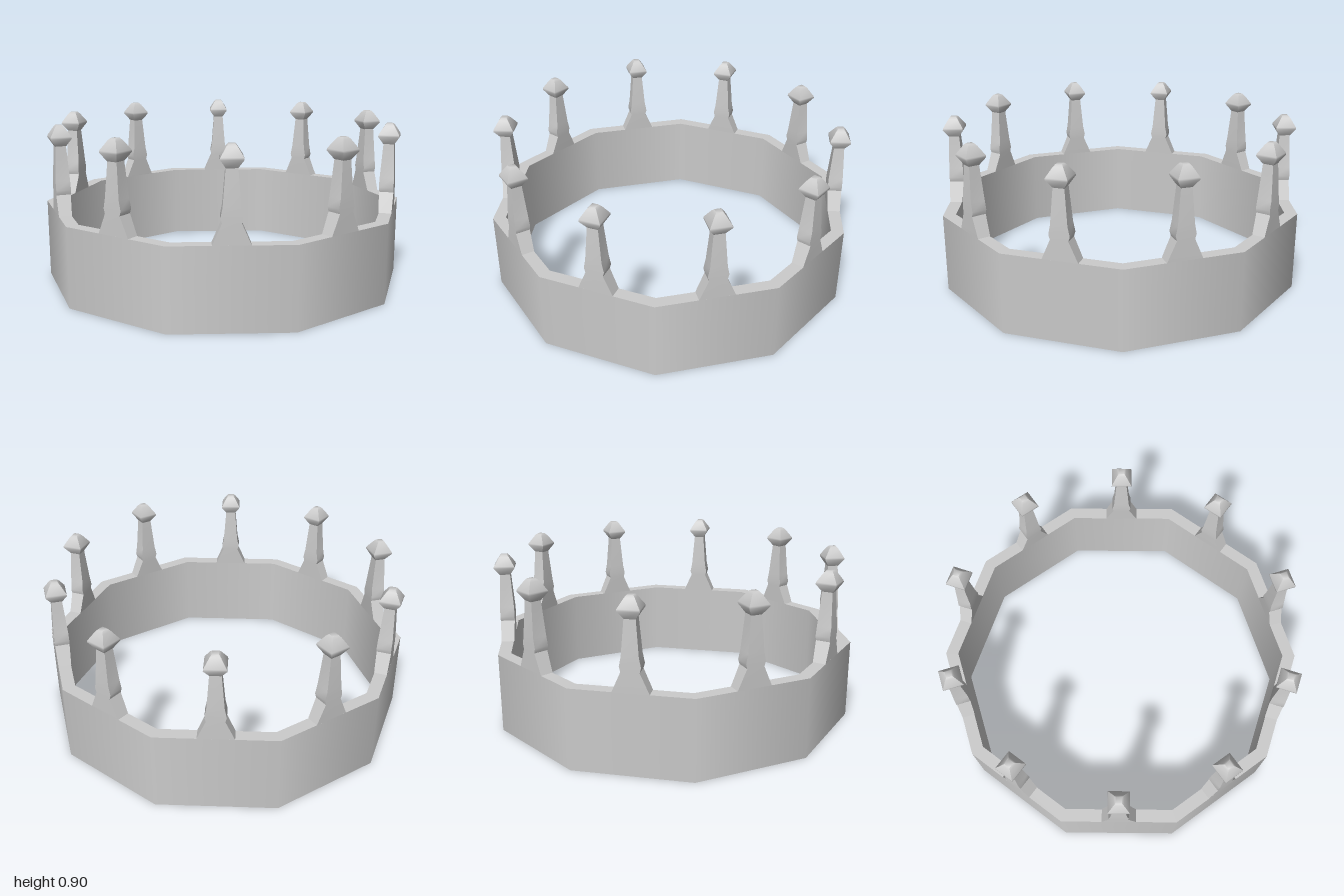
import * as THREE from 'three';
import { toCreasedNormals } from 'three/addons/utils/BufferGeometryUtils.js';

const SIDES = 10;
const BAND_TOP = 0.43;
const OUTER = 1, INNER = 0.93;

const material = new THREE.MeshStandardMaterial({ color: 0xcccccc });

// Lofts rectangular sections [y, halfWidth, zInner, zOuter] into a closed solid.
function loft(sections, crease) {
  const corners = sections.map(([y, w, z0, z1]) => [[-w, y, z1], [w, y, z1], [w, y, z0], [-w, y, z0]]);
  const positions = [];
  const quad = (a, b, c, d) => positions.push(...a, ...b, ...c, ...a, ...c, ...d);
  for (let i = 0; i < corners.length - 1; i++) {
    for (let k = 0; k < 4; k++) {
      const n = (k + 1) % 4;
      quad(corners[i][k], corners[i][n], corners[i + 1][n], corners[i + 1][k]);
    }
  }
  const [a, b, c, d] = corners[0];
  quad(d, c, b, a);
  quad(...corners[corners.length - 1]);
  const geometry = new THREE.BufferGeometry();
  geometry.setAttribute('position', new THREE.Float32BufferAttribute(positions, 3));
  return toCreasedNormals(geometry, crease);
}

// One ten-sided strip of the band, swept between two [radius, y] points.
function bandStrip(name, from, to) {
  const points = [new THREE.Vector2(...from), new THREE.Vector2(...to)];
  const mesh = new THREE.Mesh(new THREE.LatheGeometry(points, SIDES, Math.PI / 2), material);
  mesh.name = name;
  return mesh;
}

function createBand() {
  const band = new THREE.Group();
  band.name = 'band';
  band.add(
    bandStrip('bandOuterWall', [OUTER, 0], [OUTER, BAND_TOP]),
    bandStrip('bandTopRim', [OUTER, BAND_TOP], [INNER, BAND_TOP]),
    bandStrip('bandInnerWall', [INNER, BAND_TOP], [INNER, 0]),
    bandStrip('bandBottomRim', [INNER, 0], [OUTER, 0])
  );
  return band;
}

export function createModel() {
  const crown = new THREE.Group();
  crown.name = 'crown';
  crown.add(createBand());

  // Flared foot, small notch and collar, then a tapering shaft
  const spikeGeometry = loft([
    [BAND_TOP, 0.092, 0.883, 0.951],
    [0.535, 0.046, 0.877, 0.953],
    [0.56, 0.053, 0.876, 0.953],
    [0.61, 0.043, 0.877, 0.953],
    [0.8, 0.028, 0.889, 0.943]
  ], 0.5);

  // Faceted square finial with a bevelled top
  const C = 0.916;
  const finialGeometry = loft(
    [[0.79, 0.028], [0.832, 0.055], [0.842, 0.054], [0.888, 0.026], [0.9, 0.016]]
      .map(([y, h]) => [y, h, C - h, C + h]), 0.9);

  // One spike in the middle of each side
  for (let i = 0; i < SIDES; i++) {
    const point = new THREE.Group();
    point.name = `crownPoint${i + 1}`;
    const spike = new THREE.Mesh(spikeGeometry, material);
    spike.name = 'spike';
    const finial = new THREE.Mesh(finialGeometry, material);
    finial.name = 'finial';
    point.add(spike, finial);
    point.rotation.y = (i / SIDES) * Math.PI * 2;
    crown.add(point);
  }
  return crown;
}
